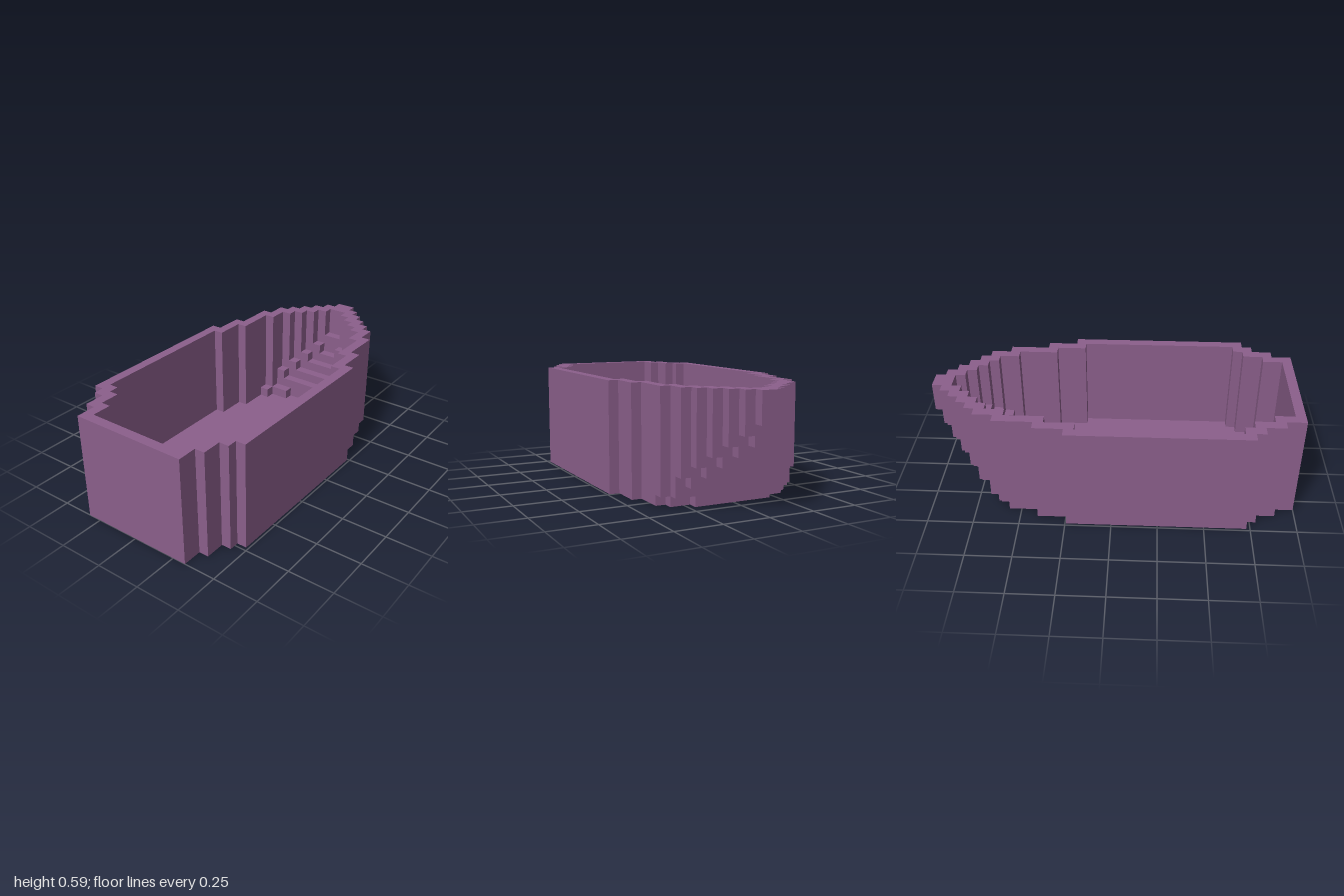
import * as THREE from 'three';

const UNIT = 2 / 37;      // one block
const LENGTH = 37, HALF_WIDTH = 9, HEIGHT = 11;

// Plan outline as runs of blocks: [end, half width]
const PLAN = [[2, 6], [4, 7], [5, 8], [23, 9], [26, 8], [30, 7], [32, 6],
  [33, 5], [34, 4], [35, 3], [36, 2], [37, 1]];

// Stepped bow underside: x -> [keel half width, keel height, edge height]
const BOW = { 29: [6, 0, 1], 30: [4, 0, 1], 31: [5, 2, 3], 32: [4, 3, 4],
  33: [3, 4, 5], 34: [2, 5, 6], 35: [1, 6, 7], 36: [1, 8, 8] };

// Underside height of a column, or null outside the outline
function underside(x, z) {
  if (x < 0 || x >= LENGTH) return null;
  const across = Math.abs(z + 0.5);
  if (across > PLAN.find(([end]) => x < end)[1]) return null;
  const [keel, low, high] = BOW[x] || [HALF_WIDTH, 0, 0];
  return across < keel ? low : high;
}

// Solid span [bottom, top] of a column: walls reach the rim, inside is a floor
function span(x, z) {
  const bottom = underside(x, z);
  if (bottom === null) return null;
  let top = 0;
  for (let dx = -1; dx <= 1; dx++) {
    for (let dz = -1; dz <= 1; dz++) {
      const near = underside(x + dx, z + dz);
      top = Math.max(top, near === null ? HEIGHT : near + 1);
    }
  }
  return [bottom, Math.min(top, HEIGHT)];
}

function hullGeometry() {
  const positions = [];
  const quad = (a, b, c, d) => {
    for (const [x, y, z] of [a, b, c, a, c, d]) {
      positions.push((x - LENGTH / 2) * UNIT, y * UNIT, z * UNIT);
    }
  };
  for (let x = 0; x < LENGTH; x++) {
    for (let z = -HALF_WIDTH; z < HALF_WIDTH; z++) {
      const column = span(x, z);
      if (!column) continue;
      const [b, t] = column;
      const X = x + 1, Z = z + 1;
      // Rim or floor, and underside
      quad([x, t, Z], [X, t, Z], [X, t, z], [x, t, z]);
      quad([x, b, z], [X, b, z], [X, b, Z], [x, b, Z]);
      // Exposed parts of the four sides, each run seen left to right from outside
      const sides = [
        [0, 1, [x, Z], [X, Z]], [0, -1, [X, z], [x, z]],
        [1, 0, [X, Z], [X, z]], [-1, 0, [x, z], [x, Z]],
      ];
      for (const [dx, dz, p, q] of sides) {
        const [nb, nt] = span(x + dx, z + dz) || [99, 99];
        for (const [lo, hi] of [[b, Math.min(t, nb)], [Math.max(b, nt), t]]) {
          if (hi > lo) {
            quad([p[0], lo, p[1]], [q[0], lo, q[1]], [q[0], hi, q[1]], [p[0], hi, p[1]]);
          }
        }
      }
    }
  }
  const geometry = new THREE.BufferGeometry();
  geometry.setAttribute('position', new THREE.Float32BufferAttribute(positions, 3));
  geometry.computeVertexNormals();
  return geometry;
}

export function createModel() {
  const model = new THREE.Group();
  model.name = 'blockBoat';
  const plum = new THREE.MeshStandardMaterial({ color: 0x8b5f8b });
  plum.name = 'plum';
  const hull = new THREE.Mesh(hullGeometry(), plum);
  hull.name = 'hull';
  model.add(hull);
  return model;
}
